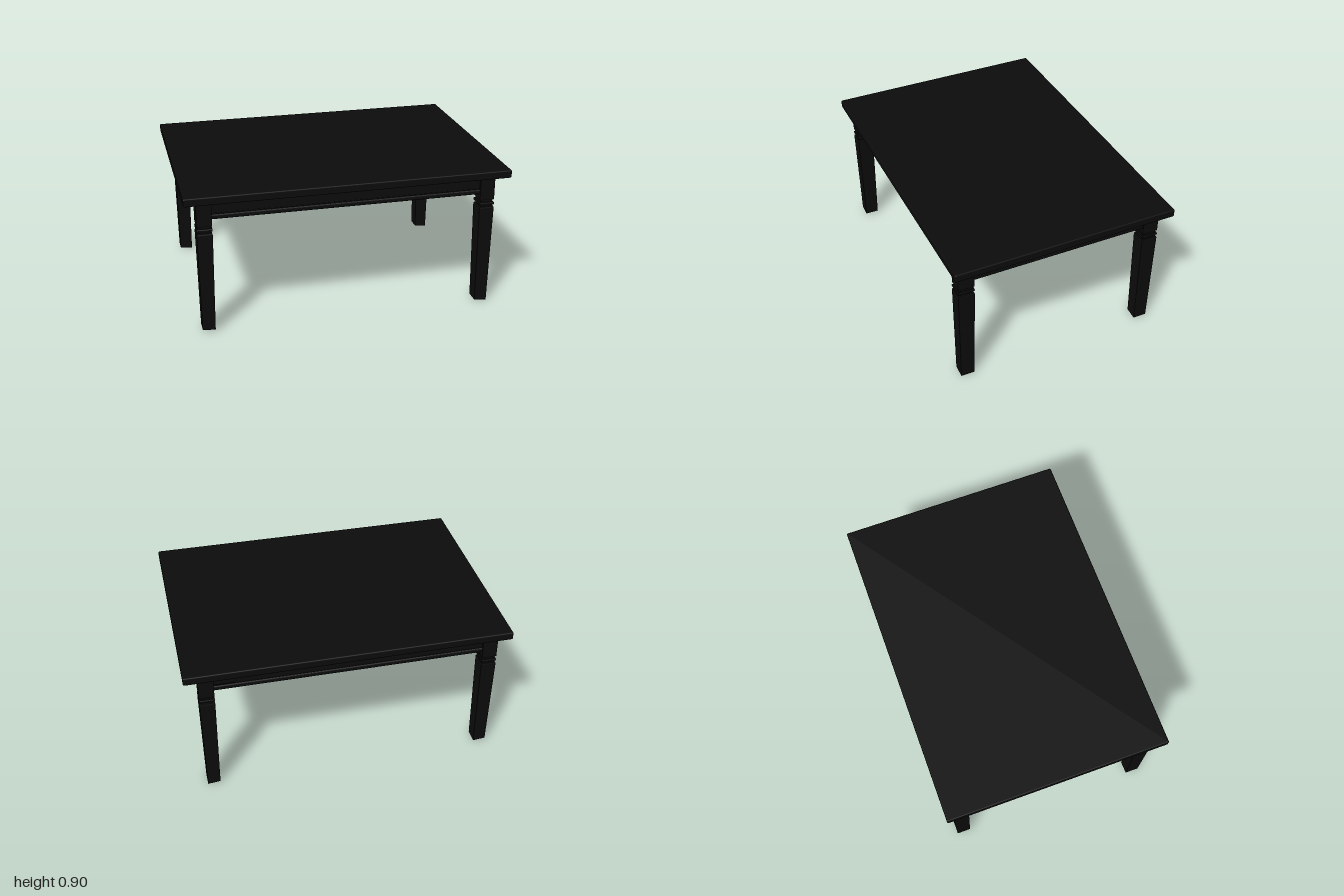
import * as THREE from 'three';
import { RoundedBoxGeometry } from 'three/addons/geometries/RoundedBoxGeometry.js';

const LEG_Z = 0.606;
const LEG_XS = [-0.88, 0.868];
const SLAB_BOTTOM = 0.852;

// Square leg with a tapered shaft, a bead between two necks and a top block
function legGeometry(footY) {
  const profile = [
    [0, footY], [0.043, footY], [0.0515, 0.645], [0.0485, 0.654], [0.042, 0.656],
    [0.042, 0.665], [0.049, 0.666], [0.052, 0.671], [0.052, 0.678], [0.049, 0.683],
    [0.042, 0.684], [0.042, 0.697], [0.048, 0.699], [0.0505, 0.703],
    [0.0505, SLAB_BOTTOM], [0, SLAB_BOTTOM],
  ].map(([half, y]) => new THREE.Vector2(half * Math.SQRT2, y));
  const geometry = new THREE.LatheGeometry(profile, 4, Math.PI / 4);
  geometry.scale(0.91, 1, 1);
  // The foot is cut slightly out of level
  const pos = geometry.attributes.position;
  for (let i = 0; i < pos.count; i++) {
    if (pos.getY(i) < 0.1) pos.setY(i, pos.getY(i) - 0.1 * pos.getX(i));
  }
  geometry.computeVertexNormals();
  return geometry;
}

// Rail with a groove and a rounded lower bead; the outer face points to +z
function apronGeometry(length) {
  const shape = new THREE.Shape();
  shape.moveTo(-0.036, SLAB_BOTTOM);
  shape.lineTo(-0.036, 0.737);
  shape.lineTo(-0.004, 0.737);
  shape.quadraticCurveTo(0.004, 0.738, 0.004, 0.748);
  shape.lineTo(0.004, 0.758);
  shape.quadraticCurveTo(0.003, 0.767, -0.006, 0.768);
  shape.lineTo(-0.006, 0.774);
  shape.lineTo(0, 0.777);
  shape.lineTo(0, SLAB_BOTTOM);
  shape.closePath();
  const geometry = new THREE.ExtrudeGeometry(shape, { depth: length, bevelEnabled: false, curveSegments: 5 });
  geometry.translate(0, 0, -length / 2);
  geometry.rotateY(-Math.PI / 2);
  return geometry;
}

export function createModel() {
  const table = new THREE.Group();
  table.name = 'table';
  const black = new THREE.MeshStandardMaterial({ color: 0x0c0c0c });
  const blackFlat = new THREE.MeshStandardMaterial({ color: 0x0c0c0c, flatShading: true });

  const add = (name, geometry, material, x = 0, y = 0, z = 0, turn = 0) => {
    const mesh = new THREE.Mesh(geometry, material);
    mesh.name = name;
    mesh.position.set(x, y, z);
    mesh.rotation.y = turn;
    table.add(mesh);
  };

  // Table top with softened edges
  add('tableTop', new RoundedBoxGeometry(2, 0.05, 1.412, 3, 0.008), black, 0, 0.877, 0);

  // Four legs
  LEG_XS.forEach((x, i) => {
    const geometry = legGeometry(i === 0 ? 0.015 : 0.004);
    for (const side of [1, -1]) {
      add(`${side > 0 ? 'front' : 'back'}${i ? 'Left' : 'Right'}Leg`, geometry, blackFlat, x, 0, side * LEG_Z);
    }
  });

  // Aprons between the legs
  const midX = (LEG_XS[0] + LEG_XS[1]) / 2;
  const longApron = apronGeometry(LEG_XS[1] - LEG_XS[0]);
  const shortApron = apronGeometry(2 * LEG_Z);
  add('frontApron', longApron, black, midX, 0, LEG_Z + 0.036);
  add('backApron', longApron, black, midX, 0, -LEG_Z - 0.036, Math.PI);
  add('leftApron', shortApron, black, LEG_XS[1] + 0.032, 0, 0, Math.PI / 2);
  add('rightApron', shortApron, black, LEG_XS[0] - 0.032, 0, 0, -Math.PI / 2);

  return table;
}
